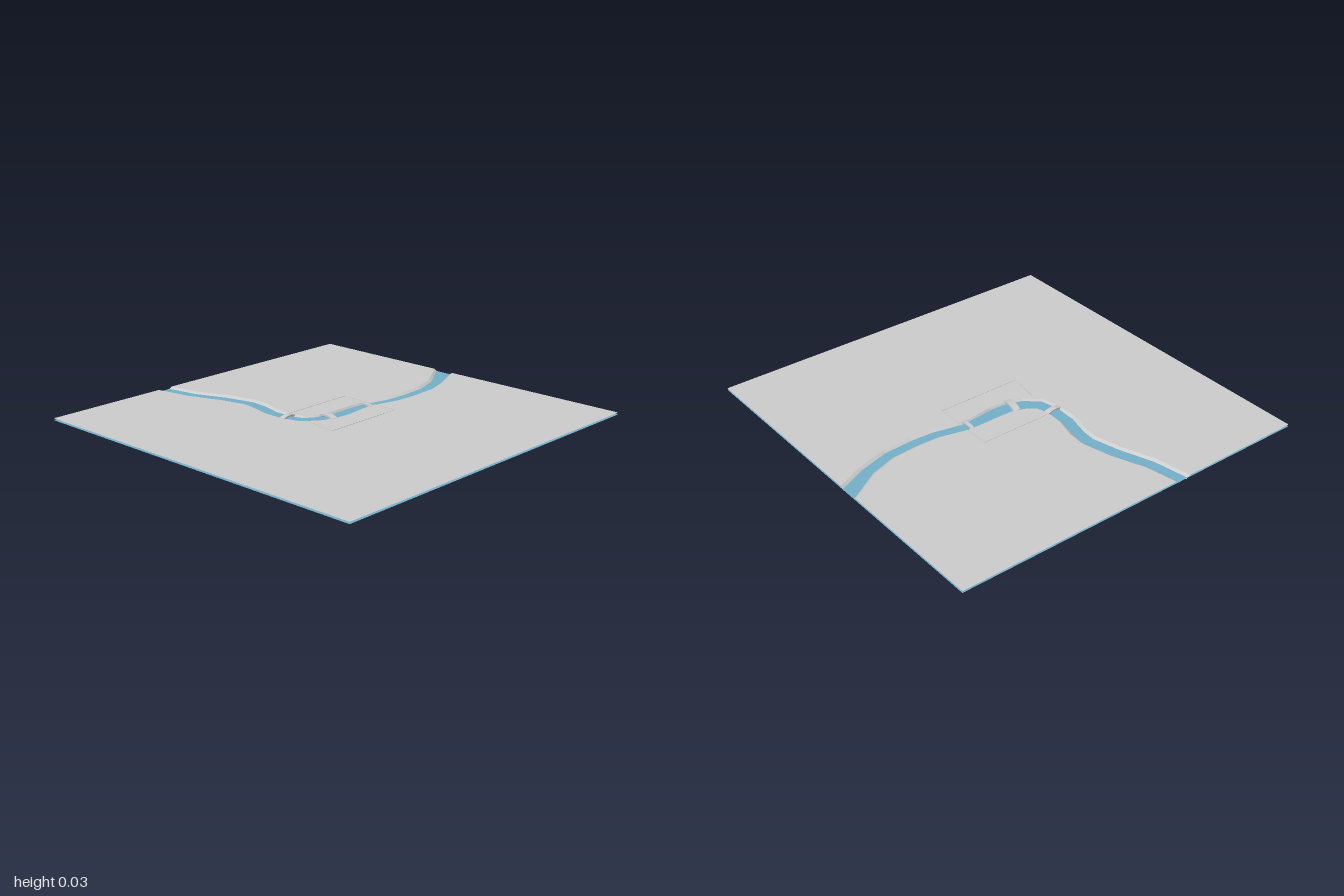
import * as THREE from 'three';

const GROUND = 0.015, WATER = 0.005;
const grey = new THREE.MeshStandardMaterial({ color: 0xcccccc, flatShading: true });
const greyThin = new THREE.MeshStandardMaterial({ color: 0xcccccc, flatShading: true, side: THREE.DoubleSide });
const blue = new THREE.MeshStandardMaterial({ color: 0x74b0ca, side: THREE.DoubleSide });

// River course: x, z, half width of the water, width of the sloping bank
const COURSE = [
  [-0.28, -1, 0.024, 0.02], [-0.247, -0.82, 0.024, 0.02], [-0.18, -0.64, 0.026, 0.02],
  [-0.143, -0.49, 0.026, 0.02], [-0.15, -0.41, 0.026, 0.02], [-0.18, -0.29, 0.027, 0.017],
  [-0.182, -0.18, 0.03, 0.012], [-0.16, -0.1, 0.035, 0.01], [-0.1, -0.05, 0.037, 0.01],
  [-0.02, -0.023, 0.037, 0.01], [0.06, -0.019, 0.036, 0.01], [0.165, -0.026, 0.03, 0.01],
  [0.255, -0.026, 0.025, 0.013], [0.33, -0.006, 0.021, 0.018], [0.41, 0.012, 0.02, 0.02],
  [0.53, 0.017, 0.021, 0.02], [0.68, 0.008, 0.022, 0.02], [0.83, -0.038, 0.025, 0.02],
  [1, -0.13, 0.043, 0.02],
];

// Line parallel to the river; side +1 is the inner (north-east) bank, -1 the outer one
function offsetLine(side, bankShare) {
  return COURSE.map(([x, z, half, bank], i) => {
    const a = COURSE[Math.max(i - 1, 0)], b = COURSE[Math.min(i + 1, COURSE.length - 1)];
    let n = new THREE.Vector2(b[1] - a[1], a[0] - b[0]).normalize();
    if (i === 0) n.set(1, 0);                        // keep the ends on the ground's edge
    if (i === COURSE.length - 1) n.set(0, -1);
    const d = side * (half + bank * bankShare);
    return new THREE.Vector2(x + n.x * d, z + n.y * d);
  });
}

// Flat ground from a plan outline in x, z
function groundPiece(points) {
  const shape = new THREE.Shape(points.map(p => new THREE.Vector2(p.x, -p.y)));
  return new THREE.ShapeGeometry(shape).rotateX(-Math.PI / 2).translate(0, GROUND, 0);
}

// Strip between two 3D lines
function strip(lineA, lineB) {
  const pos = [], index = [];
  lineA.forEach((a, i) => {
    pos.push(...a, ...lineB[i]);
    if (i) {
      const k = 2 * i;
      index.push(k - 2, k - 1, k, k, k - 1, k + 1);
    }
  });
  const g = new THREE.BufferGeometry();
  g.setAttribute('position', new THREE.Float32BufferAttribute(pos, 3));
  g.setIndex(index);
  g.computeVertexNormals();
  return g;
}

// Humped bridge with an arched opening, running along local x
function bridge(name, x, z, span, width, crown, angle) {
  const h = span / 2, s = new THREE.Shape();
  s.moveTo(-h, 0.006);
  s.lineTo(-h * 0.75, 0.006);
  s.quadraticCurveTo(0, crown * 1.5 - 0.009, h * 0.75, 0.006);
  s.lineTo(h, 0.006);
  s.lineTo(h, GROUND + 0.0005);
  s.quadraticCurveTo(0, 2 * crown - GROUND, -h, GROUND + 0.0005);
  const g = new THREE.ExtrudeGeometry(s, { depth: width, bevelEnabled: false, curveSegments: 6 });
  const m = new THREE.Mesh(g.translate(0, 0, -width / 2), grey);
  m.name = name;
  m.position.set(x, 0, z);
  m.rotation.y = angle;
  return m;
}

export function createModel() {
  const model = new THREE.Group();
  const add = (name, geometry, material) => {
    const m = new THREE.Mesh(geometry, material);
    m.name = name;
    model.add(m);
  };
  const V = (x, z) => new THREE.Vector2(x, z);

  // Ground on both sides of the river
  add('innerGround', groundPiece([...offsetLine(1, 1), V(1, -1)]), grey);
  add('outerGround', groundPiece([...offsetLine(-1, 1), V(1, 1), V(-1, 1), V(-1, -1)]), grey);

  // Sloping banks reaching just under the water
  for (const side of [1, -1]) {
    const top = offsetLine(side, 1).map(p => [p.x, GROUND, p.y]);
    const foot = offsetLine(side, -0.15).map(p => [p.x, 0, p.y]);
    add(side > 0 ? 'innerBank' : 'outerBank', side > 0 ? strip(foot, top) : strip(top, foot), greyThin);
  }

  // Water sheet under the whole ground
  add('water', new THREE.PlaneGeometry(2, 2).rotateX(-Math.PI / 2).translate(0, WATER, 0), blue);

  // Low boundary edge of the central plot
  const plot = [[-0.17, -0.05], [-0.19, 0.06], [-0.2, 0.15], [0.265, 0.15], [0.265, -0.2], [-0.17, -0.2]];
  add('plotEdge', strip(plot.map(([x, z]) => [x, GROUND + 0.0015, z]),
    plot.map(([x, z]) => [x, GROUND - 0.001, z])), greyThin);

  // Three bridges
  model.add(bridge('westBridge', -0.18, -0.178, 0.085, 0.03, 0.021, 0.1));
  model.add(bridge('middleBridge', -0.043, -0.023, 0.105, 0.037, 0.026, Math.PI / 2 - 0.15));
  model.add(bridge('eastBridge', 0.235, -0.024, 0.08, 0.02, 0.021, Math.PI / 2));
  return model;
}
